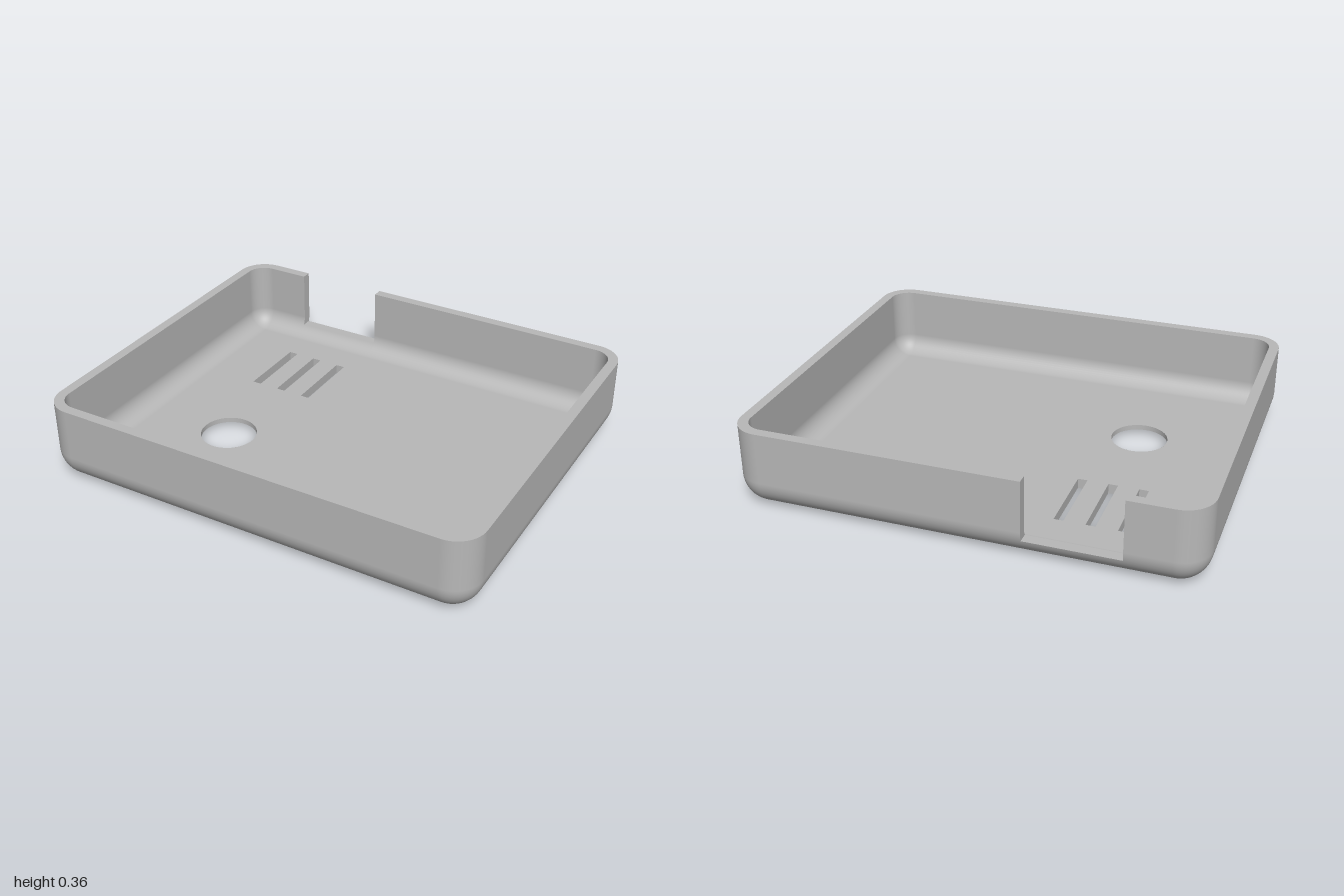
import * as THREE from 'three';

const CX = 0.87, CZ = 0.70;          // centres of the rounded corners
const R = 0.13, WALL = 0.045, H = 0.36;
const RI = R - WALL;                 // inner corner and fillet radius
const NOTCH = [-0.68, -0.27], NOTCH_Y = 0.09;
const HOLE = { x: -0.475, z: 0.22, r: 0.127, bore: 0.185, step: 0.022 };
const SLOTS = [-0.61, -0.475, -0.34], SLOT_W = 0.042, SLOT_L = 0.34, SLOT_Z = -0.39;

// Fillet profile from angle a to b: [offset, y, normal offset, normal y]
function arc(r, side, a, b, n = 12) {
  return Array.from({ length: n + 1 }, (_, i) => {
    const t = a + (b - a) * i / n, c = Math.cos(t), s = Math.sin(t);
    return [r * c, R - r * s, side * c, -side * s];
  });
}

// Sweep a profile along perimeter stations {x, z, nx, nz}
function sweep(profile, path) {
  const pos = [], nor = [], idx = [], m = profile.length;
  path.forEach((p, i) => profile.forEach(([r, y, nr, ny], j) => {
    pos.push(p.x + r * p.nx, y, p.z + r * p.nz);
    nor.push(nr * p.nx, ny, nr * p.nz);
    if (i && j) {
      const d = i * m + j, c = d - 1, b = d - m, a = b - 1;
      idx.push(a, b, c, b, d, c);
    }
  }));
  const g = new THREE.BufferGeometry();
  g.setAttribute('position', new THREE.Float32BufferAttribute(pos, 3));
  g.setAttribute('normal', new THREE.Float32BufferAttribute(nor, 3));
  g.setIndex(idx);
  return g;
}

export function createModel() {
  const model = new THREE.Group();
  model.name = 'enclosureTray';
  const grey = new THREE.MeshStandardMaterial({ color: 0xb8b8b8, side: THREE.DoubleSide });
  grey.name = 'grey plastic';
  const add = (name, geometry, x = 0, y = 0, z = 0) => {
    const mesh = new THREE.Mesh(geometry, grey);
    mesh.name = name;
    mesh.position.set(x, y, z);
    model.add(mesh);
  };

  // Perimeter: from one notch edge around all four corners to the other
  const back = x => ({ x, z: -CZ, nx: 0, nz: -1 });
  const path = [back(NOTCH[1])];
  [[1, -1, 270], [1, 1, 0], [-1, 1, 90], [-1, -1, 180]].forEach(([sx, sz, start]) => {
    for (let i = 0; i <= 12; i++) {
      const a = THREE.MathUtils.degToRad(start + i * 7.5);
      path.push({ x: sx * CX, z: sz * CZ, nx: Math.cos(a), nz: Math.sin(a) });
    }
  });
  path.push(back(NOTCH[0]));

  // Full-height walls with filleted base
  const Q = Math.PI / 2;
  add('outerWall', sweep([...arc(R, 1, Q, 0), [R, H, 1, 0]], path));
  add('rim', sweep([[R, H, 0, 1], [RI, H, 0, 1]], path));
  add('innerWall', sweep([[RI, H, -1, 0], ...arc(RI, -1, 0, Q)], path));

  // Low wall below the notch
  const notchPath = NOTCH.map(back);
  const to = Math.asin((R - NOTCH_Y) / R), ti = Math.asin((R - NOTCH_Y) / RI);
  const ro = R * Math.cos(to), ri = RI * Math.cos(ti);
  add('notchOuterWall', sweep(arc(R, 1, Q, to), notchPath));
  add('notchSill', sweep([[ro, NOTCH_Y, 0, 1], [ri, NOTCH_Y, 0, 1]], notchPath));
  add('notchInnerWall', sweep(arc(RI, -1, ti, Q), notchPath));

  // Cut ends of the wall on both sides of the notch
  const section = [...arc(R, 1, to, 0, 6), [R, H], [RI, H], ...arc(RI, -1, 0, ti, 6)];
  const endShape = new THREE.Shape(section.map(([r, y]) => new THREE.Vector2(r, y)));
  NOTCH.forEach(x => add('notchEnd', new THREE.ShapeGeometry(endShape).rotateY(Q), x, 0, -CZ));

  // Floor faces with round hole and vent slots; s = 1 faces up, -1 down
  const rect = (S, x, z, w, l) => new S([[-1, -1], [1, -1], [1, 1], [-1, 1]]
    .map(([a, b]) => new THREE.Vector2(x + a * w / 2, z + b * l / 2)));
  const floor = (s, radius) => {
    const shape = rect(THREE.Shape, 0, 0, 2 * CX, 2 * CZ);
    shape.holes.push(new THREE.Path().absarc(HOLE.x, -s * HOLE.z, radius, 0, Math.PI * 2));
    SLOTS.forEach(x => shape.holes.push(rect(THREE.Path, x, -s * SLOT_Z, SLOT_W, SLOT_L)));
    return new THREE.ShapeGeometry(shape, 48).rotateX(-s * Q);
  };
  add('floorTop', floor(1, HOLE.r), 0, WALL);
  add('floorUnderside', floor(-1, HOLE.bore));

  // Stepped round hole, recessed from below
  const tube = (r, h) => new THREE.CylinderGeometry(r, r, h, 48, 1, true);
  add('holeWall', tube(HOLE.r, WALL - HOLE.step), HOLE.x, (WALL + HOLE.step) / 2, HOLE.z);
  add('recessWall', tube(HOLE.bore, HOLE.step), HOLE.x, HOLE.step / 2, HOLE.z);
  add('recessStep', new THREE.RingGeometry(HOLE.r, HOLE.bore, 48).rotateX(Q), HOLE.x, HOLE.step, HOLE.z);

  // Vent slot walls
  SLOTS.forEach(x => {
    for (const s of [-1, 1]) {
      add('slotSide', new THREE.PlaneGeometry(SLOT_L, WALL).rotateY(-s * Q), x + s * SLOT_W / 2, WALL / 2, SLOT_Z);
      add('slotEnd', new THREE.PlaneGeometry(SLOT_W, WALL).rotateY(s > 0 ? Math.PI : 0), x, WALL / 2, SLOT_Z + s * SLOT_L / 2);
    }
  });
  return model;
}
